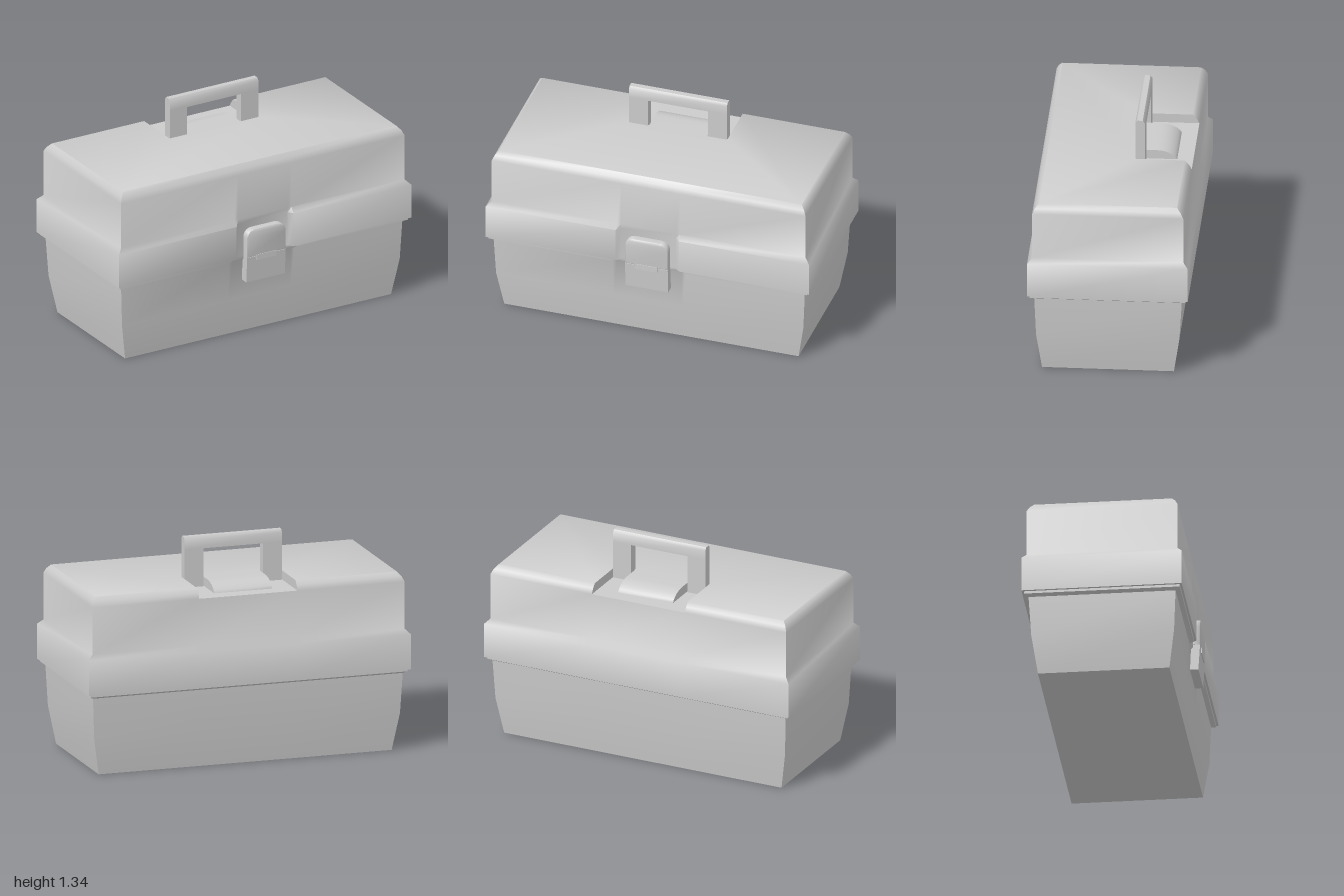
import * as THREE from 'three';
import { mergeGeometries, toCreasedNormals } from 'three/addons/utils/BufferGeometryUtils.js';

const GREY = new THREE.MeshStandardMaterial({ color: 0xcccccc, side: THREE.DoubleSide });
const GROOVE = { x: 0.305, floor: 1.03, front: -0.13 };
const FRONT_FLAT = 0.437; // front of the recess behind the latch

function part(name, geometry, crease = 0.9) {
  const mesh = new THREE.Mesh(toCreasedNormals(geometry, crease), GREY);
  mesh.name = name;
  return mesh;
}

// Rectangular ring with a latch recess in front and a handle groove at the back.
function ring([y, x, front, back], notch, groove = [y, back], edge = back) {
  const f = Math.min(front, FRONT_FLAT), g = GROOVE.x, [gy, gz] = groove;
  return [
    [-x, y, front], [-notch - 0.025, y, front], [-notch, y, f],
    [notch, y, f], [notch + 0.025, y, front], [x, y, front],
    [x, y, back], [g, y, edge], [g, gy, gz], [-g, gy, gz], [-g, y, edge], [-x, y, back],
  ].map((p) => new THREE.Vector3(...p));
}

// Skin between successive rings, leaving out triangles without area.
function loft(rings) {
  const pos = [];
  const add = (...t) => {
    if (new THREE.Triangle(...t).getArea() > 1e-7) t.forEach((v) => pos.push(v.x, v.y, v.z));
  };
  for (let i = 0; i < rings.length - 1; i++) {
    const lo = rings[i], hi = rings[i + 1], n = lo.length;
    for (let j = 0; j < n; j++) {
      const k = (j + 1) % n;
      add(lo[j], lo[k], hi[k]);
      add(lo[j], hi[k], hi[j]);
    }
  }
  return new THREE.BufferGeometry().setAttribute('position', new THREE.Float32BufferAttribute(pos, 3));
}

// Flat horizontal face from [x, z] corners.
function cap(points, y, up) {
  const s = up ? -1 : 1;
  const shape = new THREE.Shape(points.map(([x, z]) => new THREE.Vector2(x, s * z)));
  const g = new THREE.ShapeGeometry(shape).toNonIndexed();
  g.rotateX((s * Math.PI) / 2).translate(0, y, 0);
  g.deleteAttribute('uv');
  g.deleteAttribute('normal');
  return g;
}

// Side profile of [z, y] points swept across x, centred.
function sweepX(points, width) {
  const shape = new THREE.Shape(points.map((p) => new THREE.Vector2(...p)));
  return new THREE.ExtrudeGeometry(shape, { depth: width, bevelEnabled: false })
    .rotateY(-Math.PI / 2).translate(width / 2, 0, 0);
}

export function createModel() {
  const model = new THREE.Group();

  // Tapered lower box with a small rim: [y, half width, front z, back z]
  const body = [
    [0, 0.91, 0.383, -0.395], [0.23, 0.95, 0.415, -0.43], [0.475, 0.962, 0.425, -0.445],
    [0.488, 0.985, 0.452, -0.468], [0.505, 0.985, 0.452, -0.468],
  ].map((r) => ring(r, 0.2));
  const base = cap([[-0.91, 0.383], [0.91, 0.383], [0.91, -0.395], [-0.91, -0.395]], 0, false);
  model.add(part('body', mergeGeometries([loft(body), base])));

  // Lid: wide band, upper wall, rounded shoulder, then the handle groove
  const shoulder = [
    [1.03, 0.97, 0.437, -0.455], [1.06, 0.957, 0.422, -0.438], [1.085, 0.935, 0.4, -0.415],
  ];
  const top = shoulder[2];
  const lid = [
    [0.503, 0.95, 0.42, -0.44], [0.503, 1, 0.465, -0.483],
    [0.715, 1, 0.465, -0.483], [0.745, 0.97, 0.437, -0.455],
  ].map((r) => ring(r, 0.17));
  shoulder.forEach((r) => lid.push(ring(r, 0.17, [GROOVE.floor, r[3]])));
  lid.push(ring(top, 0.17, [GROOVE.floor, GROOVE.front], GROOVE.front));
  // Front wall of the groove, between its two side walls
  const wall = new THREE.PlaneGeometry(2 * GROOVE.x, 0.055).toNonIndexed()
    .rotateY(Math.PI).translate(0, 1.0575, GROOVE.front);
  wall.deleteAttribute('uv');
  wall.deleteAttribute('normal');
  // The last step closes only the groove, so its outer back strip is kept out of the loft
  const walls = loft(lid.slice(0, -1));
  const [from, to] = lid.slice(-2);
  const groove = loft([from.slice(7, 11), to.slice(7, 11)]);
  const keep = [];
  const gp = groove.getAttribute('position');
  for (let i = 0; i < gp.count; i += 3) {
    const ys = [0, 1, 2].map((k) => gp.getY(i + k));
    if (Math.min(...ys) > 1.08) continue;
    for (let k = 0; k < 3; k++) keep.push(gp.getX(i + k), gp.getY(i + k), gp.getZ(i + k));
  }
  groove.setAttribute('position', new THREE.Float32BufferAttribute(keep, 3));
  const [ty, tx, tf, tb] = top, g = GROOVE.x;
  const lidTop = cap([
    [-tx, tf], [tx, tf], [tx, tb], [g, tb], [g, GROOVE.front], [-g, GROOVE.front], [-g, tb], [-tx, tb],
  ], ty, true);
  model.add(part('lid', mergeGeometries([walls, groove, wall, lidTop])));

  // Raised tongue inside the folded handle's space, curving down to the back
  const tongue = [[-0.13, 1.02], [-0.13, 1.085], [-0.24, 1.085]];
  for (let i = 1; i <= 6; i++) {
    const a = (i / 6) * 1.2;
    tongue.push([-0.24 - 0.12 * Math.sin(a) / Math.sin(1.2), 1.085 - 0.055 * (1 - Math.cos(a)) / (1 - Math.cos(1.2))]);
  }
  tongue.push([-0.36, 1.02]);
  model.add(part('handleTongue', sweepX(tongue, 0.36)));

  // Upright handle: bevelled grip on two arms
  const handle = new THREE.Group();
  handle.name = 'handle';
  const grip = [[-0.122, 1.26], [-0.122, 1.318], [-0.134, 1.335], [-0.166, 1.335], [-0.178, 1.318], [-0.178, 1.26]];
  handle.add(part('handleGrip', sweepX(grip, 0.606)));
  for (const s of [-1, 1]) {
    const arm = new THREE.BoxGeometry(0.118, 0.23, 0.056).translate(s * 0.244, 1.145, -0.15);
    handle.add(part('handleArm', arm));
  }
  model.add(handle);

  // Latch: rounded upper plate, hinge tab, slanted lower plate
  const w = 0.125, r = 0.05, t = 0.672;
  const plate = new THREE.Shape();
  plate.moveTo(-w, 0.513);
  plate.lineTo(w, 0.513);
  plate.lineTo(w, t - r);
  plate.quadraticCurveTo(w, t, w - r, t);
  plate.lineTo(-w + r, t);
  plate.quadraticCurveTo(-w, t, -w, t - r);
  const upper = new THREE.ExtrudeGeometry(plate, {
    depth: 0.042, bevelThickness: 0.008, bevelSize: 0.008, bevelSegments: 3, curveSegments: 8,
  }).translate(0, 0, 0.43);
  model.add(part('latchUpper', upper));
  model.add(part('latchTab', new THREE.BoxGeometry(0.136, 0.035, 0.05).translate(0, 0.4965, 0.458)));
  const lower = [[0.41, 0.505], [0.479, 0.505], [0.469, 0.345], [0.41, 0.345]];
  model.add(part('latchLower', sweepX(lower, 0.264)));

  return model;
}
